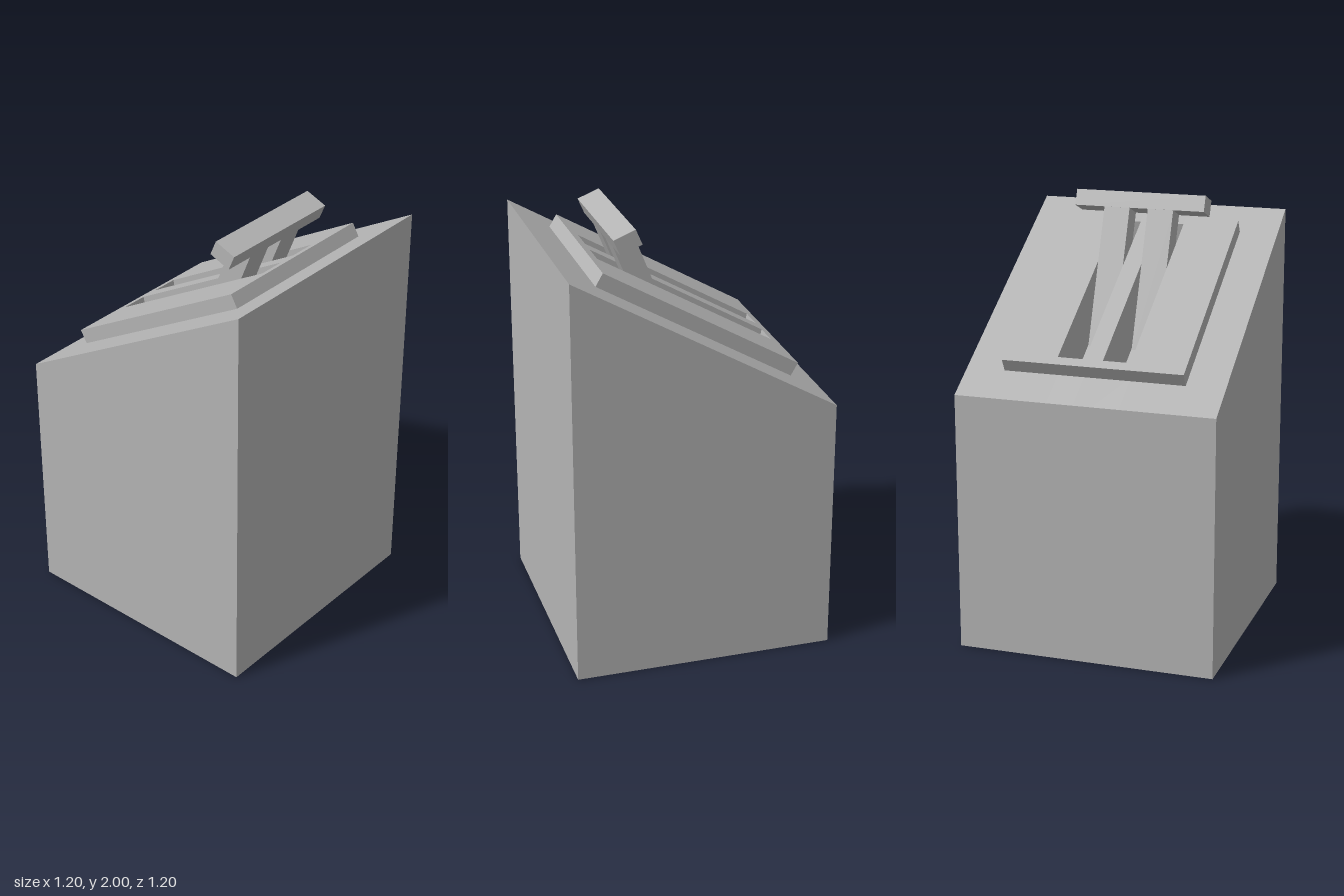
import * as THREE from 'three';

const SLOPE = 0.577;
const TOP = 1.622;    // plate surface height at x = 0
const DECK = 1.546;   // sloped body surface height at x = 0
const FLOOR = 1.34;   // slot floor height at x = 0
const at = (x, base) => [x, base + SLOPE * x];

// z ranges of the two slots
const SLOTS = [[-0.17, -0.044], [0.04, 0.166]];
// solid strips left beside and between the slots, out to a given half depth
const solids = (h) => [[-h, SLOTS[0][0]], [SLOTS[0][1], SLOTS[1][0]], [SLOTS[1][1], h]];

export function createModel() {
  const gray = new THREE.MeshStandardMaterial({ color: 0xb4b4b4 });
  gray.name = 'gray';
  const model = new THREE.Group();
  model.name = 'leverConsole';

  // side profile extruded between two z values
  const slab = (parent, name, points, [z0, z1]) => {
    const shape = new THREE.Shape(points.map(([x, y]) => new THREE.Vector2(x, y)));
    const geometry = new THREE.ExtrudeGeometry(shape, { depth: z1 - z0, bevelEnabled: false });
    geometry.translate(0, 0, z0);
    const mesh = new THREE.Mesh(geometry, gray);
    mesh.name = name;
    parent.add(mesh);
  };
  const group = (name) => {
    const g = new THREE.Group();
    g.name = name;
    model.add(g);
    return g;
  };

  // pedestal with sloped top, notched where the slots run
  const body = group('pedestal');
  const base = [[-0.6, 0], [0.6, 0], at(0.6, DECK)];
  const notch = [at(0.3835, DECK), at(0.42, FLOOR), at(-0.39, FLOOR), at(-0.4265, DECK)];
  const low = at(-0.6, DECK);
  for (const z of solids(0.6)) slab(body, 'pedestalSolid', [...base, low], z);
  for (const z of SLOTS) slab(body, 'pedestalSlot', [...base, ...notch, low], z);

  // raised plate, open over the slots
  const plate = group('slottedPlate');
  const lowEnd = [at(-0.48, TOP), at(-0.447, DECK)];
  const highEnd = [at(0.443, DECK), at(0.41, TOP)];
  for (const z of solids(0.42)) slab(plate, 'plateSolid', [...lowEnd, ...highEnd], z);
  for (const z of SLOTS) {
    slab(plate, 'plateLowEnd', [...lowEnd, at(-0.4265, DECK), at(-0.44, TOP)], z);
    slab(plate, 'plateHighEnd', [at(0.37, TOP), at(0.3835, DECK), ...highEnd], z);
  }

  // twin stems joined by a crossbar grip
  const lever = group('lever');
  for (const [z0, z1] of SLOTS) {
    slab(lever, 'leverStem',
      [[0.205, 1.93], [-0.04, 1.31], [0.058, 1.28], [0.302, 1.892]], [z0 + 0.002, z1 - 0.002]);
  }
  slab(lever, 'leverGrip',
    [[0.204, 1.93], [0.304, 1.89], [0.334, 1.96], [0.234, 2.0]], [-0.312, 0.31]);

  return model;
}
